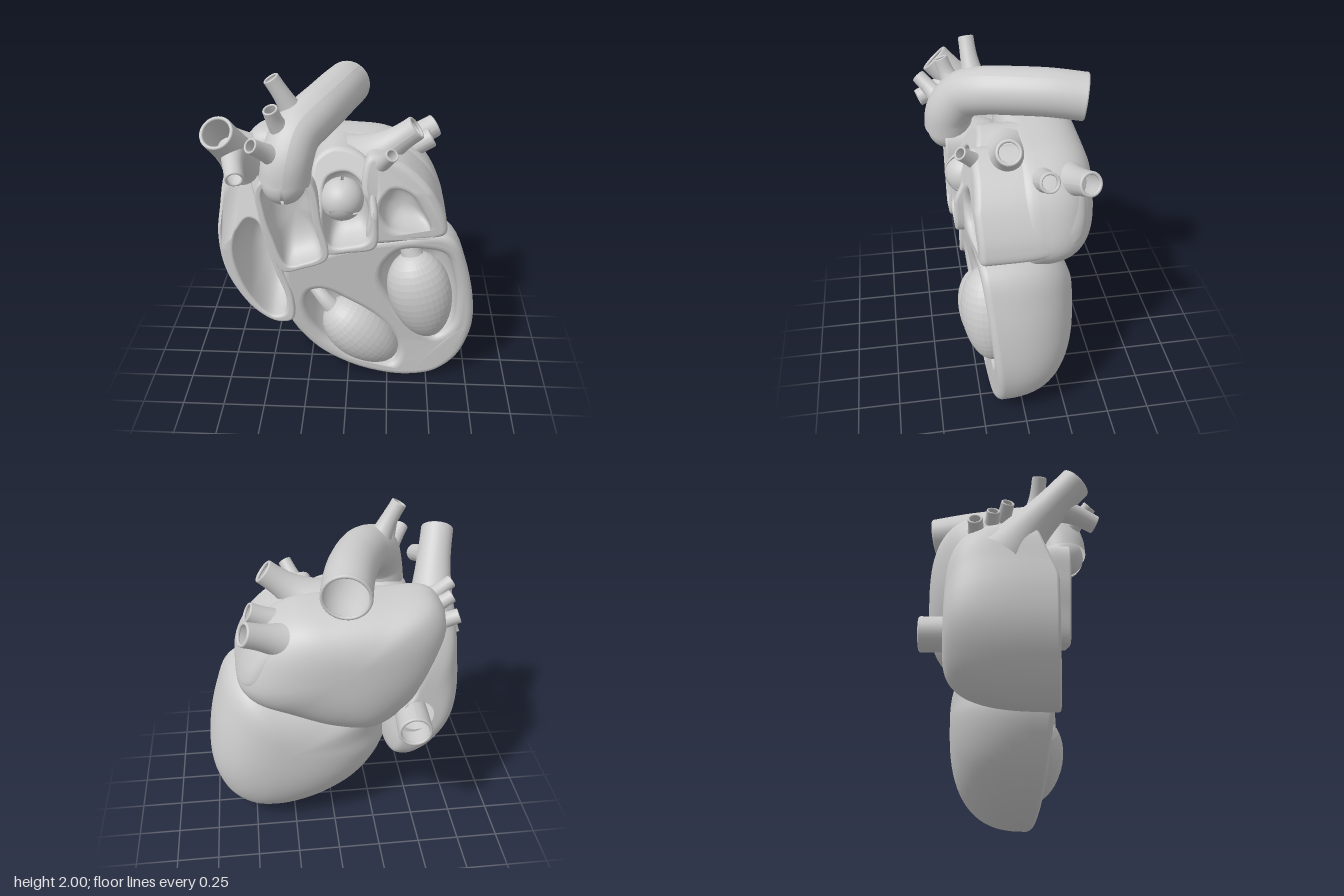
import * as THREE from 'three';

const tissue = new THREE.MeshStandardMaterial({ color: 0xcccccc, side: THREE.DoubleSide });
const faceted = new THREE.MeshStandardMaterial({ color: 0xcccccc, flatShading: true });
const V = (p) => new THREE.Vector3(...p);

function add(parent, name, geometry, material = tissue) {
  const mesh = new THREE.Mesh(geometry, material);
  mesh.name = name;
  parent.add(mesh);
  return mesh;
}

// Smooth closed outline through [x, y] points, lying on the surface z = plane(x, y)
function outline(points, plane) {
  const curve = new THREE.CatmullRomCurve3(points.map(([x, y]) => V([x, y, 0])), true);
  const loop = curve.getPoints(80).slice(0, -1);
  loop.forEach((p) => { p.z = plane(p.x, p.y); });
  return loop;
}

// Outline grown (or shrunk, if negative) by a distance
function offset(loop, distance, plane) {
  const n = loop.length, side = Math.sign(THREE.ShapeUtils.area(loop));
  return loop.map((p, i) => {
    const t = loop[(i + 1) % n].clone().sub(loop[(i + n - 1) % n]).setZ(0).normalize();
    const x = p.x + t.y * side * distance, y = p.y - t.x * side * distance;
    return V([x, y, plane(x, y)]);
  });
}

// Bowl from a loop to a pole, or to a round opening of radius r.
// It starts with a rounded lip that rolls over from the start loop.
function bowl(loop, { at: [cx, cy, cz], power = 2.4, r = 0 }, start = loop, lip = 0) {
  const rings = 20, rolls = lip ? 6 : 0, n = loop.length, position = [], index = [];
  for (let k = 0; k < rolls; k++) {
    const a = (k / rolls) * Math.PI / 2;
    loop.forEach((p, i) => {
      const q = start[i].clone().lerp(p, Math.sin(a));
      position.push(q.x, q.y, q.z - lip * (1 - Math.cos(a)));
    });
  }
  for (let k = 0; k <= rings; k++) {
    const a = (k / rings) * Math.PI / 2;
    const u = Math.pow(Math.sin(a), 2 / power);
    const s = k === rings ? 0 : Math.pow(Math.cos(a), 2 / power);
    for (const p of loop) {
      const angle = Math.atan2(p.y - cy, p.x - cx);
      const tx = cx + r * Math.cos(angle), ty = cy + r * Math.sin(angle), z = p.z - lip;
      position.push(tx + (p.x - tx) * s, ty + (p.y - ty) * s, z + (cz - z) * u);
    }
  }
  for (let k = 0; k < rings + rolls; k++) {
    for (let i = 0; i < n; i++) {
      const j = (i + 1) % n, b = k * n;
      index.push(b + i, b + n + i, b + j, b + j, b + n + i, b + n + j);
    }
  }
  const g = new THREE.BufferGeometry();
  g.setAttribute('position', new THREE.Float32BufferAttribute(position, 3));
  g.setIndex(index);
  g.computeVertexNormals();
  return g;
}

// Cut-open chamber: back shell, cut face and hollows, all joined by rounded lips
function chamber(parent, name, outer, plane, back, hollows, lip) {
  const group = new THREE.Group();
  group.name = name;
  parent.add(group);
  const flat = (loop) => loop.map((p) => new THREE.Vector2(p.x, p.y));
  const edge = outline(outer, plane), inset = offset(edge, -lip, plane);
  const shape = new THREE.Shape(flat(inset));
  add(group, 'backShell', bowl(edge, back, inset, lip));
  for (const hollow of hollows) {
    const loop = outline(hollow.points, plane), grown = offset(loop, lip, plane);
    shape.holes.push(new THREE.Path(flat(grown)));
    add(group, 'hollow', bowl(loop, hollow, grown, lip));
  }
  const face = new THREE.ShapeGeometry(shape);
  const pos = face.attributes.position;
  for (let i = 0; i < pos.count; i++) pos.setZ(i, plane(pos.getX(i), pos.getY(i)));
  face.computeVertexNormals();
  add(group, 'cutFace', face);
}

// Open vessel that flares toward its root and ends in a rounded rim
function vessel(parent, name, points, root, tip) {
  const curve = new THREE.CatmullRomCurve3(points.map(V));
  const rows = 36, sides = 28;
  const g = new THREE.TubeGeometry(curve, rows, 1, sides);
  const pos = g.attributes.position, v = new THREE.Vector3();
  for (let i = 0; i < pos.count; i++) {
    const t = Math.floor(i / (sides + 1)) / rows;
    const c = curve.getPointAt(t);
    v.fromBufferAttribute(pos, i).sub(c).multiplyScalar(tip + (root - tip) * (1 - t) ** 2.5).add(c);
    pos.setXYZ(i, v.x, v.y, v.z);
  }
  g.computeVertexNormals();
  add(parent, name, g);
  const w = Math.min(0.01, tip * 0.15);
  const ring = add(parent, name + 'Rim', new THREE.TorusGeometry(tip - w, w, 10, 32));
  ring.position.copy(curve.getPoint(1));
  ring.quaternion.setFromUnitVectors(V([0, 0, 1]), curve.getTangent(1));
}

// Faceted egg-shaped muscle, narrower at its lower end
function muscle(parent, name, at, size, tilt) {
  const g = new THREE.SphereGeometry(1, 32, 20);
  const pos = g.attributes.position;
  for (let i = 0; i < pos.count; i++) {
    const k = 1 + 0.12 * pos.getY(i);
    pos.setXYZ(i, pos.getX(i) * k * size[0], pos.getY(i) * size[1], pos.getZ(i) * k * size[2]);
  }
  const mesh = add(parent, name, g, faceted);
  mesh.position.set(...at);
  mesh.rotation.z = tilt;
}

// Ball valve of three leaflets around a smaller core
function valve(parent, name, at, r, rotation) {
  const group = new THREE.Group();
  group.name = name;
  add(group, 'core', new THREE.SphereGeometry(r * 0.85, 32, 20));
  for (let i = 0; i < 3; i++) {
    add(group, 'leaflet', new THREE.SphereGeometry(r, 16, 24, i * Math.PI * 2 / 3 + 0.07, Math.PI * 2 / 3 - 0.14));
  }
  group.position.set(...at);
  group.rotation.set(...rotation);
  parent.add(group);
}

export function createModel() {
  const heart = new THREE.Group();
  heart.name = 'heart';

  // Ventricles with two open hollows
  chamber(heart, 'ventricles',
    [[-0.36, 0.49], [-0.21, 0.25], [0, 0.1], [0.2, 0.025], [0.38, 0], [0.55, 0.03], [0.68, 0.14], [0.75, 0.3],
      [0.77, 0.45], [0.75, 0.65], [0.7, 0.85], [0.63, 1.02], [0.54, 1.08], [0.3, 1.06], [0.1, 1.03],
      [-0.12, 0.97], [-0.37, 0.87], [-0.36, 0.66]],
    (x, y) => 0.19 + 0.08 * Math.max(0, y - 0.3) - 0.06 * (x - 0.35), { at: [0.27, 0.62, -0.33], power: 2.6 },
    [{ points: [[0.22, 0.88], [0.3, 0.97], [0.45, 0.98], [0.57, 0.94], [0.63, 0.8], [0.66, 0.6], [0.64, 0.4],
      [0.55, 0.32], [0.45, 0.38], [0.33, 0.5], [0.24, 0.65], [0.2, 0.78]], at: [0.44, 0.64, -0.06] },
    { points: [[-0.25, 0.6], [-0.22, 0.68], [-0.14, 0.69], [0, 0.61], [0.15, 0.5], [0.27, 0.35], [0.32, 0.2],
      [0.29, 0.1], [0.15, 0.12], [0, 0.2], [-0.14, 0.32], [-0.22, 0.45]], at: [0.06, 0.38, -0.05] }], 0.04);

  muscle(heart, 'leftVentricleMuscle', [0.44, 0.63, 0.17], [0.19, 0.3, 0.17], 0.25);
  muscle(heart, 'rightVentricleMuscle', [0.085, 0.34, 0.16], [0.18, 0.275, 0.17], 0.84);
  vessel(heart, 'leftMuscleCord', [[0.4, 0.85, 0.16], [0.37, 0.93, 0.14], [0.36, 1.01, 0.12]], 0.07, 0.06);
  vessel(heart, 'rightMuscleCord', [[-0.05, 0.46, 0.16], [-0.14, 0.56, 0.15], [-0.22, 0.64, 0.1]], 0.07, 0.04);

  // Left atrium body, deep at the back and shallow in front
  const atrium = outline([[0.56, 1.1], [0.52, 1.28], [0.43, 1.43], [0.25, 1.55], [0, 1.58], [-0.3, 1.59], [-0.54, 1.58],
    [-0.63, 1.46], [-0.61, 1.2], [-0.48, 0.95], [-0.25, 0.76], [0, 0.78], [0.3, 0.9], [0.5, 1.0]], () => -0.1);
  add(heart, 'leftAtriumBack', bowl(atrium, { at: [-0.03, 1.25, -0.47], power: 2.7 }));
  add(heart, 'leftAtriumFront', bowl(atrium, { at: [-0.03, 1.25, 0.05], power: 3 }));

  // Left atrium front opening
  chamber(heart, 'leftAtriumOpening',
    [[0.12, 1.06], [0.35, 1.05], [0.56, 1.08], [0.56, 1.17], [0.5, 1.31], [0.42, 1.42], [0.29, 1.52], [0.12, 1.56], [0.08, 1.4], [0.12, 1.25]],
    (x, y) => 0.29 - 0.13 * (x - 0.1) - 0.25 * Math.max(0, y - 1.35), { at: [0.28, 1.35, -0.38], power: 4 },
    [{ points: [[0.19, 1.25], [0.24, 1.37], [0.34, 1.35], [0.43, 1.22], [0.47, 1.1], [0.35, 1.1], [0.24, 1.14]],
      at: [0.33, 1.22, 0.08] }], 0.03);

  // Pulmonary trunk
  chamber(heart, 'pulmonaryTrunk',
    [[-0.13, 1.0], [0.02, 1.005], [0.16, 1.04], [0.175, 1.2], [0.15, 1.38], [0.1, 1.53], [-0.07, 1.585], [-0.18, 1.52], [-0.2, 1.4], [-0.16, 1.2]],
    (x, y) => 0.33 - 0.5 * Math.max(0, y - 1.25), { at: [-0.02, 1.38, -0.3], power: 4 },
    [{ points: [[-0.09, 1.05], [0.02, 1.05], [0.12, 1.09], [0.13, 1.25], [0.1, 1.38], [0, 1.46], [-0.11, 1.43], [-0.13, 1.3]],
      at: [0, 1.25, 0.12] }], 0.02);
  valve(heart, 'pulmonaryValve', [-0.03, 1.31, 0.24], 0.123, [Math.PI / 2, 0.5, 0]);

  // Cut-open root of the aorta
  chamber(heart, 'aortaRoot',
    [[-0.49, 1.42], [-0.49, 1.25], [-0.45, 1.08], [-0.37, 0.88], [-0.25, 0.9], [-0.11, 0.97], [-0.14, 1.2], [-0.19, 1.44], [-0.34, 1.5]],
    () => 0.34, { at: [-0.3, 1.25, -0.05], power: 3 },
    [{ points: [[-0.455, 1.4], [-0.45, 1.25], [-0.41, 1.09], [-0.34, 0.92], [-0.25, 0.935], [-0.15, 0.99], [-0.185, 1.2], [-0.23, 1.42], [-0.34, 1.46]],
      at: [-0.3, 1.2, 0.16] }], 0.013);
  valve(heart, 'aorticValve', [-0.34, 1.44, 0.31], 0.122, [0.35, -0.52, 0]);

  // Aortic arch and its branches
  vessel(heart, 'aorticArch', [[-0.335, 1.45, 0.31], [-0.32, 1.56, 0.3], [-0.28, 1.68, 0.22], [-0.2, 1.735, 0.1],
    [-0.13, 1.755, -0.06], [-0.07, 1.76, -0.25], [-0.03, 1.74, -0.44]], 0.14, 0.137);
  vessel(heart, 'archBranch1', [[-0.28, 1.75, 0.15], [-0.34, 1.87, 0.17], [-0.4, 1.975, 0.18]], 0.08, 0.045);
  vessel(heart, 'archBranch2', [[-0.32, 1.67, 0.25], [-0.37, 1.78, 0.3], [-0.39, 1.86, 0.33]], 0.09, 0.042);
  vessel(heart, 'archBranch3', [[-0.34, 1.57, 0.31], [-0.42, 1.65, 0.39], [-0.48, 1.715, 0.46]], 0.09, 0.042);

  // Right atrium, pierced through to the lower vein
  chamber(heart, 'rightAtrium',
    [[-0.69, 1.42], [-0.735, 1.2], [-0.75, 1.02], [-0.73, 0.84], [-0.67, 0.69], [-0.56, 0.54], [-0.43, 0.465], [-0.33, 0.49],
      [-0.32, 0.64], [-0.38, 0.85], [-0.44, 1.1], [-0.48, 1.35], [-0.57, 1.5]],
    (x, y) => 0.26 + 0.1 * (x + 0.5) - 0.35 * Math.max(0, y - 1.1), { at: [-0.46, 0.9, -0.37], power: 3.2, r: 0.1 },
    [{ points: [[-0.57, 1.16], [-0.51, 1.14], [-0.47, 1.0], [-0.42, 0.82], [-0.365, 0.64], [-0.38, 0.53], [-0.46, 0.51],
      [-0.57, 0.62], [-0.64, 0.78], [-0.665, 0.95], [-0.63, 1.09]], at: [-0.45, 0.88, -0.12], r: 0.08 }], 0.018);
  vessel(heart, 'lowerVein', [[-0.45, 0.88, -0.12], [-0.44, 0.88, -0.3], [-0.43, 0.88, -0.49]], 0.08, 0.098);
  vessel(heart, 'upperVein', [[-0.57, 1.28, -0.04], [-0.595, 1.42, 0.06], [-0.635, 1.6, 0.22], [-0.675, 1.735, 0.35]], 0.18, 0.095);
  vessel(heart, 'upperVeinBranch', [[-0.62, 1.6, 0.24], [-0.6, 1.57, 0.36], [-0.575, 1.53, 0.465]], 0.08, 0.052);

  // Lung veins: [tip, root, tip radius]
  const veins = [
    [[0.37, 1.66, 0.05], [0.1, 1.45, 0.03], 0.072], [[0.47, 1.52, -0.15], [0.2, 1.38, -0.12], 0.058],
    [[0.5, 1.51, -0.36], [0.18, 1.36, -0.25], 0.07], [[0.24, 1.6, 0.29], [0.13, 1.42, 0.12], 0.038],
    [[-0.68, 1.58, -0.03], [-0.48, 1.46, -0.08], 0.038], [[-0.67, 1.53, -0.11], [-0.48, 1.42, -0.13], 0.038],
    [[-0.69, 1.46, -0.21], [-0.48, 1.38, -0.19], 0.042],
  ];
  veins.forEach(([tip, root, r], i) => {
    const middle = V(root).lerp(V(tip), 0.5).toArray();
    vessel(heart, 'lungVein' + (i + 1), [root, middle, tip], r * 2.5, r);
  });

  return heart;
}
